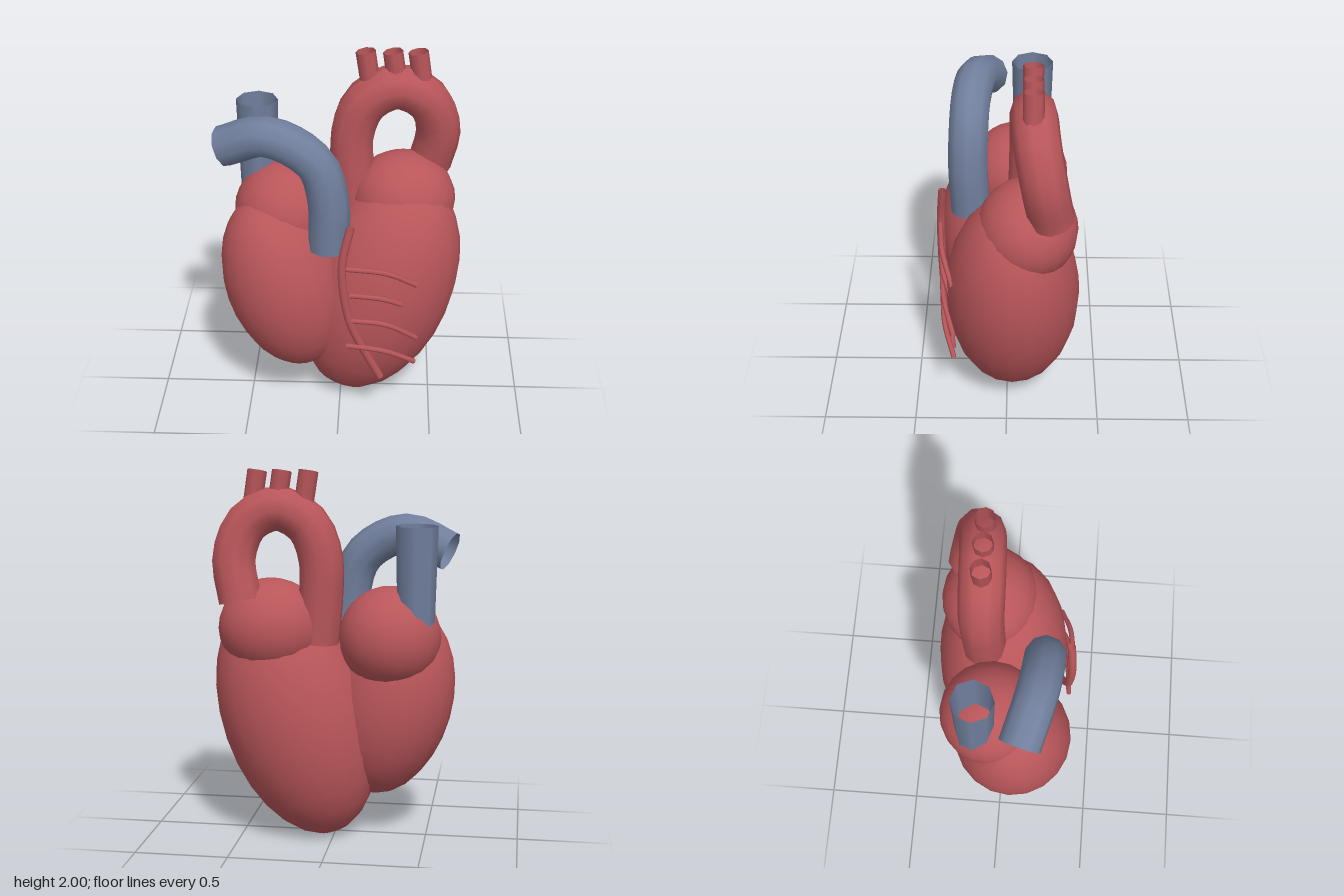
import * as THREE from 'three';

export function createModel() {
  const model = new THREE.Group();
  model.name = 'heart';

  const muscleRed = new THREE.MeshStandardMaterial({ color: 0xb9565a, side: THREE.DoubleSide });
  muscleRed.name = 'muscle red';
  const veinBlue = new THREE.MeshStandardMaterial({ color: 0x717f9d, side: THREE.DoubleSide });
  veinBlue.name = 'vein blue';

  const add = (name, geometry, material) => {
    const mesh = new THREE.Mesh(geometry, material);
    mesh.name = name;
    model.add(mesh);
    return mesh;
  };

  // Chambers: smooth ellipsoids, tilted about z
  const chamber = (name, center, radii, tilt = 0) => {
    const mesh = add(name, new THREE.SphereGeometry(1, 20, 14), muscleRed);
    mesh.position.set(...center);
    mesh.scale.set(...radii);
    mesh.rotation.z = tilt;
  };
  chamber('leftVentricle', [0.21, 0.67, -0.03], [0.405, 0.685, 0.36], -0.316);
  chamber('rightVentricle', [-0.3, 0.74, 0.06], [0.328, 0.525, 0.32], 0.253);
  chamber('leftAtrium', [0.33, 1.17, -0.107], [0.283, 0.26, 0.26]);
  chamber('rightAtrium', [-0.3, 1.12, -0.055], [0.272, 0.272, 0.272]);

  // Vessels: open tubes along smooth curves
  const vessel = (name, points, radius, material, segments = 16, sides = 10) => {
    const curve = new THREE.CatmullRomCurve3(points.map(p => new THREE.Vector3(...p)));
    add(name, new THREE.TubeGeometry(curve, segments, radius, sides), material);
  };
  vessel('aorta', [
    [0.08, 1.1, -0.12], [0.06, 1.32, -0.125], [0.06, 1.55, -0.13], [0.13, 1.72, -0.13],
    [0.285, 1.8, -0.135], [0.44, 1.73, -0.15], [0.51, 1.55, -0.185], [0.47, 1.32, -0.225],
  ], 0.118, muscleRed, 20);
  vessel('pulmonaryArtery', [
    [-0.055, 1.03, 0.2], [-0.055, 1.3, 0.21], [-0.11, 1.5, 0.205],
    [-0.24, 1.61, 0.195], [-0.39, 1.647, 0.17], [-0.6, 1.56, 0.11],
  ], 0.108, veinBlue);

  // Three short vessels on top of the arch
  for (const x of [0.122, 0.262, 0.392]) {
    vessel('archBranch', [[x + 0.03, 1.8, -0.13], [x, 1.995, -0.13]], 0.052, muscleRed, 1, 8);
  }

  // Upper vein, slightly wider at its mouth
  const vein = add('upperVein', new THREE.CylinderGeometry(0.11, 0.098, 0.52, 8, 1, true), veinBlue);
  vein.position.set(-0.443, 1.46, -0.13);

  // Surface artery and its four side branches
  vessel('surfaceArtery', [
    [0.062, 1.22, 0.342], [0.02, 1.0, 0.358], [0.055, 0.68, 0.352],
    [0.135, 0.47, 0.33], [0.225, 0.28, 0.305],
  ], 0.022, muscleRed, 20, 8);
  const branches = [
    [0.04, 0.99, 0.25, 0.955, 0.41, 0.855],
    [0.06, 0.83, 0.23, 0.8, 0.37, 0.72],
    [0.045, 0.675, 0.25, 0.64, 0.415, 0.525],
    [0.045, 0.515, 0.25, 0.47, 0.41, 0.37],
  ];
  for (const [x0, y0, x1, y1, x2, y2] of branches) {
    vessel('sideArtery', [[x0, y0, 0.36], [x1, y1, 0.34], [x2, y2, 0.285]], 0.014, muscleRed, 10, 6);
  }

  return model;
}
